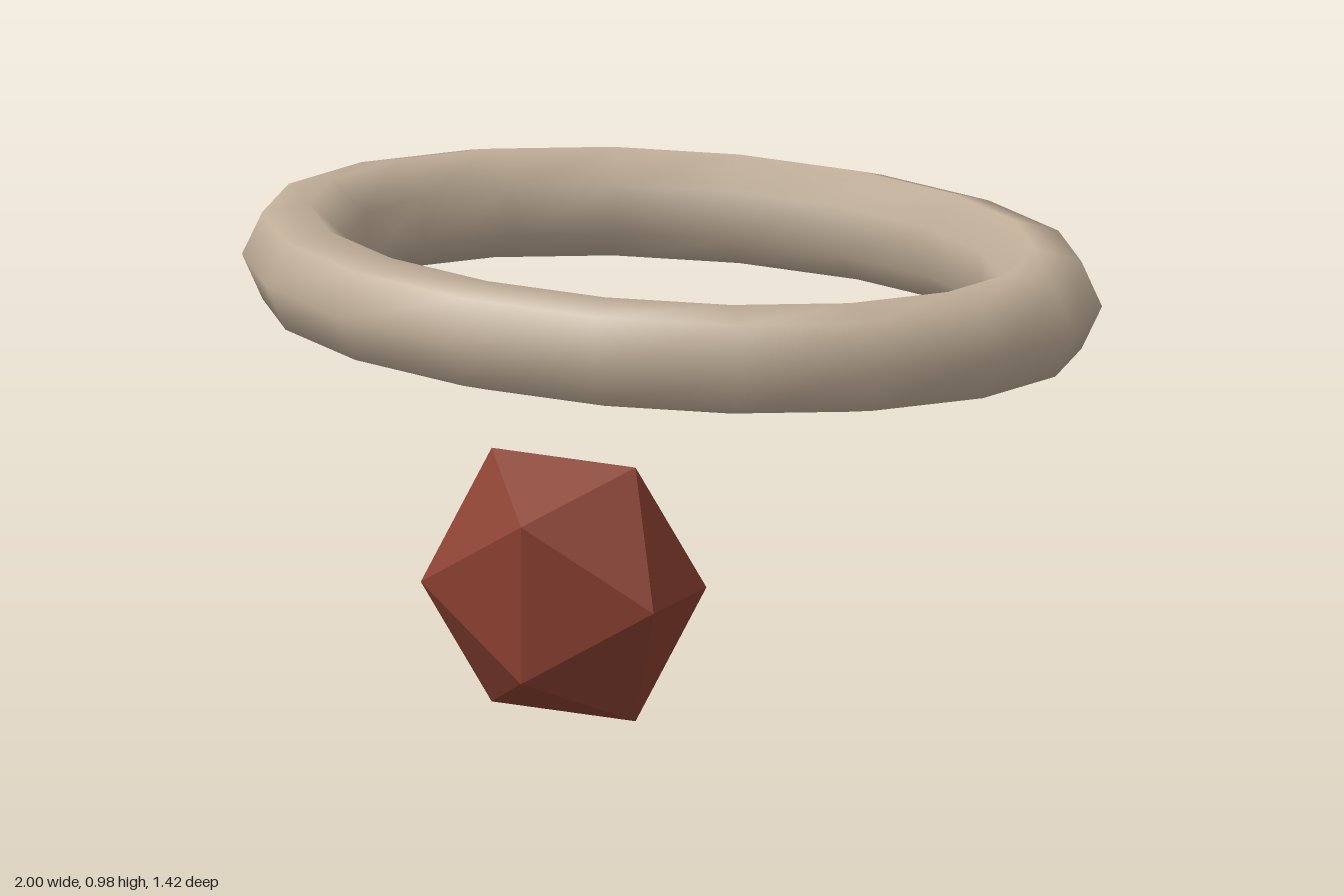
import * as THREE from 'three';

export function createModel() {
  const model = new THREE.Group();

  // Oval ring lying flat: smooth torus squashed along z
  const ringGeometry = new THREE.TorusGeometry(0.873, 0.127, 7, 18);
  ringGeometry.rotateX(-Math.PI / 2);
  const ring = new THREE.Mesh(
    ringGeometry,
    new THREE.MeshStandardMaterial({ color: 0xbfad97 })
  );
  ring.name = 'ring';
  ring.scale.z = 0.718;
  ring.position.set(0, 0.859, -0.004);
  model.add(ring);

  // Faceted gem below the front of the ring
  const gem = new THREE.Mesh(
    new THREE.IcosahedronGeometry(0.34, 0),
    new THREE.MeshStandardMaterial({ color: 0x8a4030, flatShading: true })
  );
  gem.name = 'gem';
  gem.scale.z = 0.7;
  gem.position.set(0, 0.289, 0.509);
  model.add(gem);

  return model;
}
